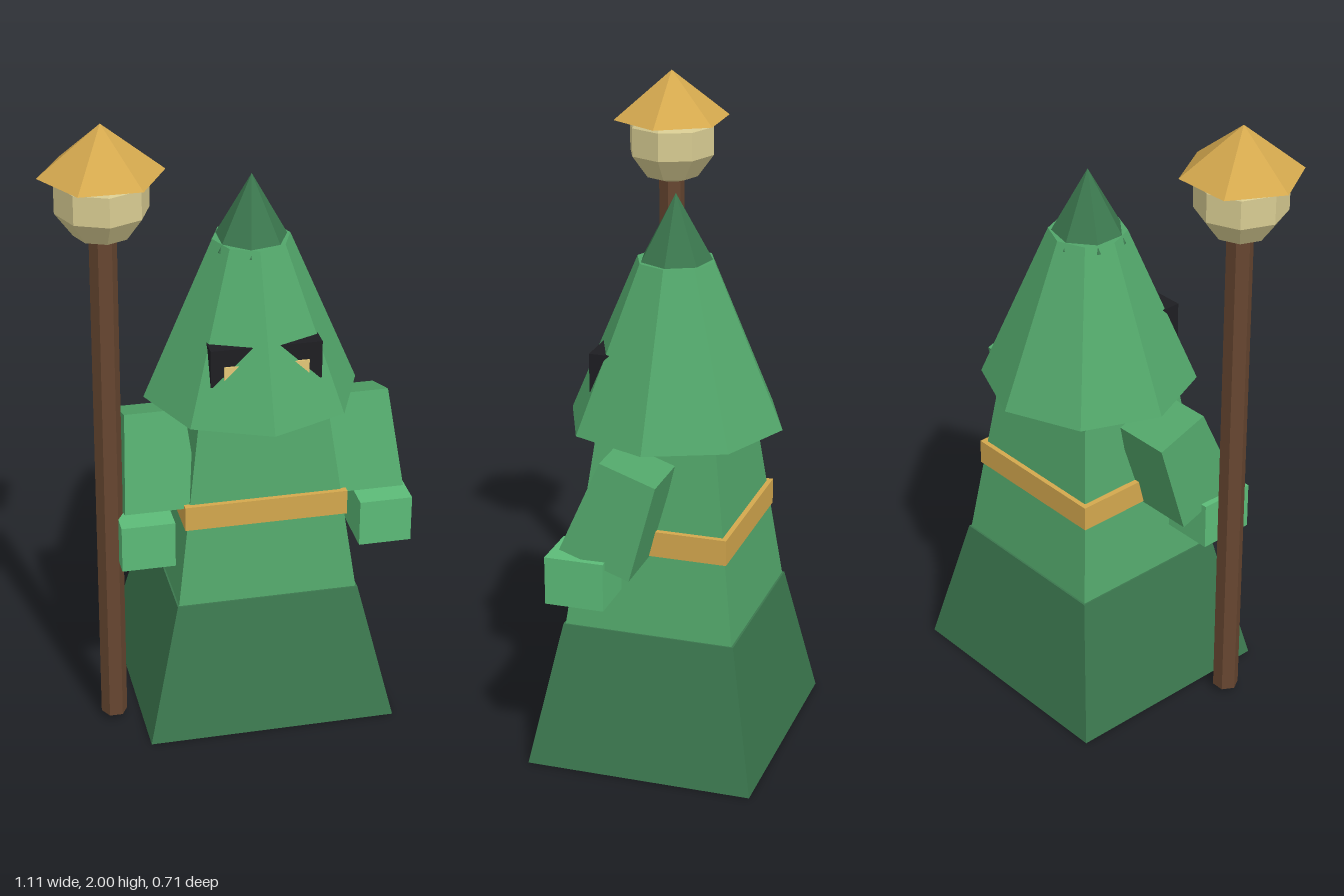
import * as THREE from 'three';

const paint = (name, color) => {
  const m = new THREE.MeshStandardMaterial({ color, flatShading: true });
  m.name = name;
  return m;
};

// Box whose top and bottom rectangles differ: half sizes at the bottom and top
function frustum(bx, bz, tx, tz, height) {
  const g = new THREE.BoxGeometry(2, height, 2);
  const p = g.attributes.position;
  for (let i = 0; i < p.count; i++) {
    const top = p.getY(i) > 0;
    p.setX(i, p.getX(i) * (top ? tx : bx));
    p.setZ(i, p.getZ(i) * (top ? tz : bz));
  }
  g.computeVertexNormals();
  return g;
}

export function createModel() {
  const robe = paint('robe green', 0x52a66a);
  const dark = paint('dark green', 0x3b774e);
  const skin = paint('light green', 0x5cbb78);
  const gold = paint('gold', 0xd4a84e);
  const wood = paint('wood brown', 0x664630);
  const glow = paint('pale lamp yellow', 0xd8cc92);
  const black = paint('eye black', 0x1e1e22);
  const pupil = paint('pupil yellow', 0xe6c878);

  const model = new THREE.Group();
  model.name = 'hoodedLampBearer';
  const add = (parent, name, geometry, material, x, y, z) => {
    const mesh = new THREE.Mesh(geometry, material);
    mesh.name = name;
    mesh.position.set(x, y, z);
    parent.add(mesh);
    return mesh;
  };

  // Robed figure, standing a little to the left of the staff
  const figure = new THREE.Group();
  figure.name = 'figure';
  figure.position.x = 0.1;
  model.add(figure);

  add(figure, 'skirt', frustum(0.39, 0.355, 0.286, 0.27, 0.44), dark, 0, 0.22, 0);
  add(figure, 'robe', frustum(0.281, 0.264, 0.198, 0.185, 0.61), robe, 0, 0.745, 0);
  add(figure, 'belt', new THREE.BoxGeometry(0.508, 0.08, 0.474), gold, 0, 0.73, 0);

  // Eight-sided hood with a seven-sided pointed tip
  add(figure, 'hood', new THREE.CylinderGeometry(0.12, 0.335, 0.505, 8), robe, 0, 1.2925, 0);
  const tip = add(figure, 'hoodTip', new THREE.ConeGeometry(0.124, 0.225, 7), dark, 0, 1.6325, 0);
  tip.rotation.y = Math.PI / 2;

  for (const [side, s] of [['left', 1], ['right', -1]]) {
    // Sleeve widens downward and swings forward to the hand
    const arm = add(figure, side + 'Arm', frustum(0.116, 0.114, 0.0925, 0.09, 0.302), robe, s * 0.32, 0.865, 0.064);
    arm.rotation.x = -0.33;
    add(figure, side + 'Hand', new THREE.BoxGeometry(0.165, 0.15, 0.182), skin, s * 0.372, 0.661, 0.17);
    // Eye blocks sink into the hood, so its slope cuts them to a slanted shape
    add(figure, side + 'Eye', new THREE.BoxGeometry(0.14, 0.12, 0.08), black, s * 0.1, 1.22, 0.176);
    add(figure, side + 'Pupil', new THREE.BoxGeometry(0.06, 0.05, 0.03), pupil, s * 0.1, 1.2, 0.206);
  }

  // Staff with a roofed lamp, six-sided with corners toward the sides
  const staff = new THREE.Group();
  staff.name = 'lampStaff';
  staff.position.set(-0.375, 0, 0.168);
  model.add(staff);
  const pole = add(staff, 'pole', new THREE.CylinderGeometry(0.041, 0.041, 1.65, 6), wood, 0, 0.845, 0);
  const roof = add(staff, 'lampRoof', new THREE.ConeGeometry(0.185, 0.15, 6), gold, 0, 1.925, 0);
  pole.rotation.y = roof.rotation.y = Math.PI / 2;
  add(staff, 'lamp', new THREE.SphereGeometry(0.145, 8, 5), glow, 0, 1.785, 0);

  return model;
}
